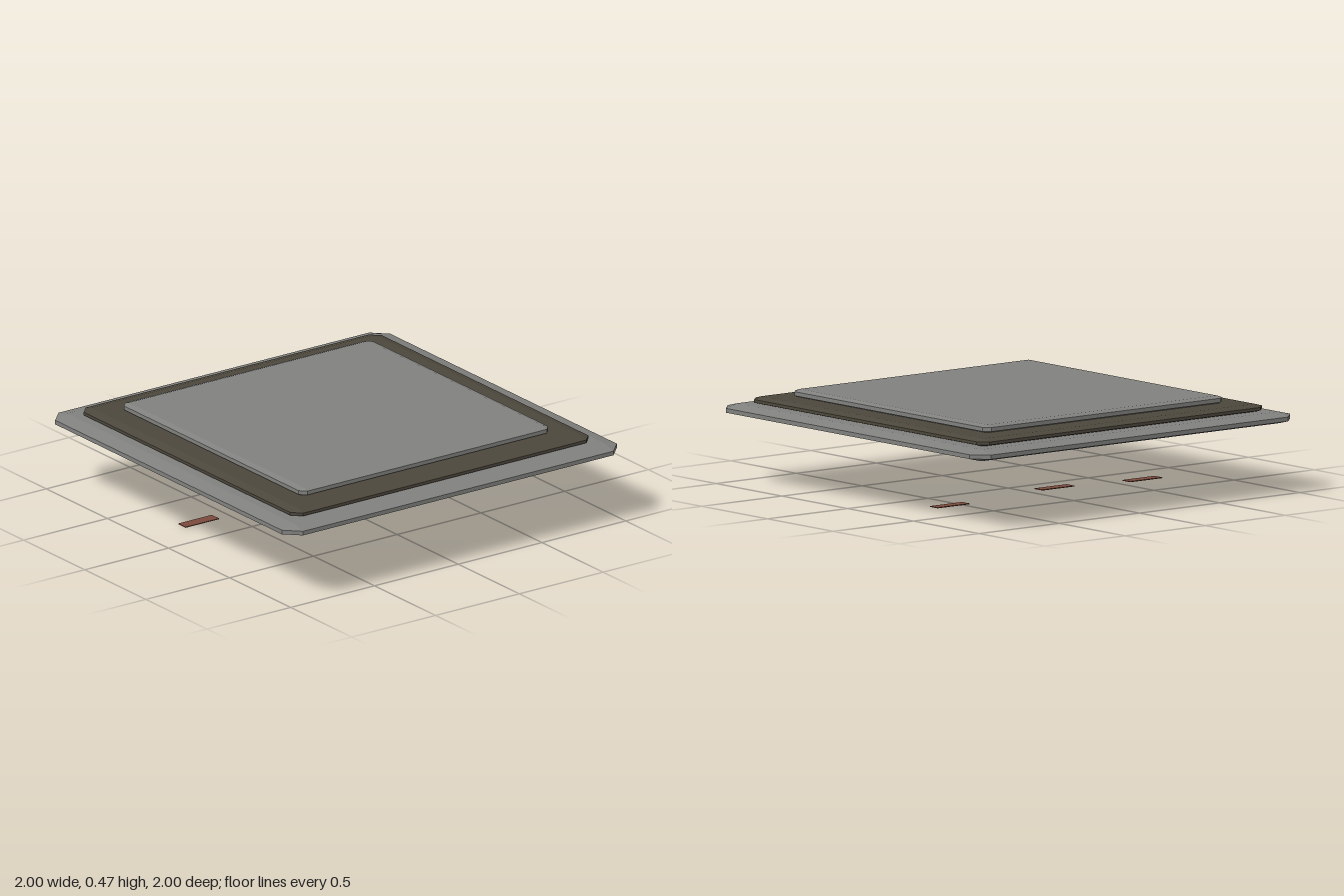
import * as THREE from 'three';
import { ConvexGeometry } from 'three/addons/geometries/ConvexGeometry.js';

const plateMaterial = new THREE.MeshStandardMaterial({ color: 0x80807e, flatShading: true });
const frameMaterial = new THREE.MeshStandardMaterial({ color: 0x4c473c, flatShading: true });
const stripMaterial = new THREE.MeshStandardMaterial({ color: 0x7a4a3c, flatShading: true });

// Square slab with every edge and corner chamfered: bevel is the inset in x and z, rise the inset in y
function slab(name, half, bottom, top, bevel, rise, material) {
  const inner = half - bevel;
  const points = [];
  for (const sx of [-1, 1]) {
    for (const sz of [-1, 1]) {
      for (const y of [bottom, top]) points.push(new THREE.Vector3(sx * inner, y, sz * inner));
      for (const y of [bottom + rise, top - rise]) {
        points.push(new THREE.Vector3(sx * half, y, sz * inner));
        points.push(new THREE.Vector3(sx * inner, y, sz * half));
      }
    }
  }
  const mesh = new THREE.Mesh(new ConvexGeometry(points), material);
  mesh.name = name;
  return mesh;
}

export function createModel() {
  const model = new THREE.Group();
  model.name = 'steppedPlate';

  // Three stacked slabs, each smaller than the one below
  model.add(
    slab('basePlate', 1, 0.337, 0.394, 0.073, 0.018, plateMaterial),
    slab('middleFrame', 0.89, 0.391, 0.43, 0.045, 0.012, frameMaterial),
    slab('topPanel', 0.745, 0.428, 0.468, 0.03, 0.01, plateMaterial)
  );

  // Thin loose strips lying on the ground below
  const stripGeometry = new THREE.BoxGeometry(0.2, 0.004, 0.06);
  [[-0.67, -0.205], [-0.18, -0.135], [0.56, -0.24]].forEach(([x, z], i) => {
    const strip = new THREE.Mesh(stripGeometry, stripMaterial);
    strip.position.set(x, 0.002, z);
    strip.name = `groundStrip${i + 1}`;
    model.add(strip);
  });

  return model;
}
